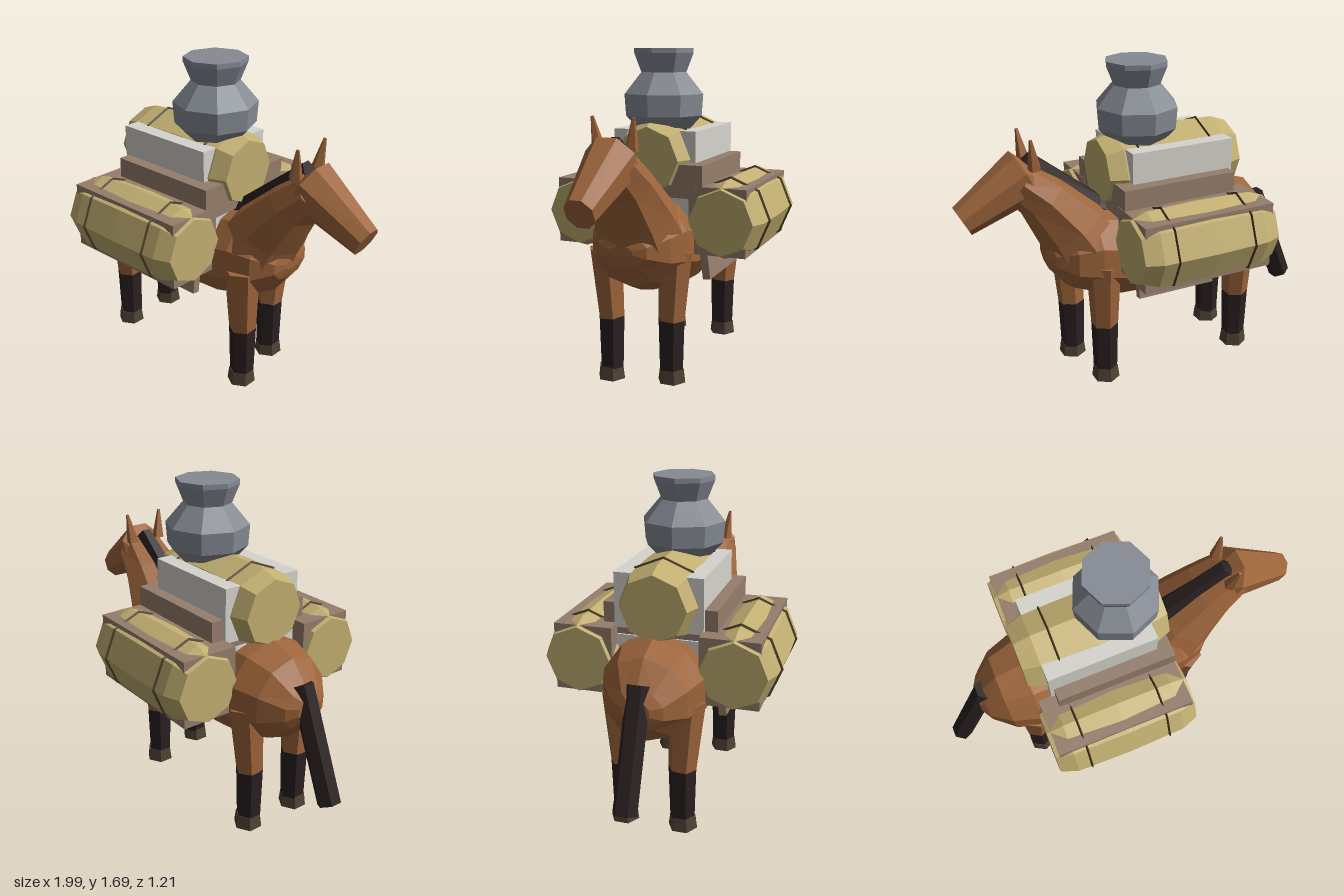
import * as THREE from 'three';

const mat = (name, color) => {
  const m = new THREE.MeshStandardMaterial({ color, flatShading: true });
  m.name = name;
  return m;
};

// Closed skin over rings; each ring is [topX, topY, bottomX, bottomY, halfWidth]
function loft(rings, sides, turn = 0) {
  const pos = [], idx = [];
  for (const [tx, ty, bx, by, w] of rings) {
    for (let j = 0; j < sides; j++) {
      const a = ((j + turn) / sides) * Math.PI * 2, c = Math.cos(a);
      pos.push((tx + bx) / 2 + (c * (tx - bx)) / 2, (ty + by) / 2 + (c * (ty - by)) / 2, Math.sin(a) * w);
    }
  }
  const centre = ([tx, ty, bx, by]) => pos.push((tx + bx) / 2, (ty + by) / 2, 0);
  const n = rings.length, first = n * sides, last = first + 1;
  centre(rings[0]);
  centre(rings[n - 1]);
  for (let j = 0; j < sides; j++) {
    const k = (j + 1) % sides;
    for (let i = 0; i < n - 1; i++) {
      const a = i * sides + j, b = i * sides + k;
      idx.push(a, b, a + sides, b, b + sides, a + sides);
    }
    idx.push(first, k, j, last, (n - 1) * sides + j, (n - 1) * sides + k);
  }
  const g = new THREE.BufferGeometry();
  g.setAttribute('position', new THREE.Float32BufferAttribute(pos, 3));
  g.setIndex(idx);
  g.computeVertexNormals();
  return g;
}

export function createModel() {
  const model = new THREE.Group();
  const coat = mat('chestnutCoat', 0x9e653b);
  const black = mat('darkHair', 0x2a2021);
  const hoofMat = mat('hoof', 0x4f4234);
  const canvas = mat('canvas', 0xc2af71);
  const strapMat = mat('strap', 0x4a3b24);
  const wood = mat('wood', 0x957e6c);
  const cloth = mat('paleCloth', 0xd6d4ce);
  const metal = mat('greyPot', 0x868b94);

  const add = (name, geo, material, x = 0, y = 0, z = 0, parent = model) => {
    const m = new THREE.Mesh(geo, material);
    m.name = name;
    m.position.set(x, y, z);
    parent.add(m);
    return m;
  };
  // Box given by its limits
  const box = (name, material, x0, x1, y0, y1, z0, z1) =>
    add(name, new THREE.BoxGeometry(x1 - x0, y1 - y0, z1 - z0), material, (x0 + x1) / 2, (y0 + y1) / 2, (z0 + z1) / 2);
  // Tapered prism running from a (radius ra) to b (radius rb)
  const limb = (name, material, a, b, ra, rb, sides = 6) => {
    const p = new THREE.Vector3(...a), q = new THREE.Vector3(...b), d = q.clone().sub(p);
    const m = add(name, new THREE.CylinderGeometry(rb, ra, d.length(), sides), material);
    m.position.copy(p.add(q).multiplyScalar(0.5));
    m.quaternion.setFromUnitVectors(new THREE.Vector3(0, 1, 0), d.normalize());
    return m;
  };

  // Animal, facing +x
  add('body', loft([
    [-0.78, 0.79, -0.78, 0.67, 0.07],
    [-0.75, 0.83, -0.74, 0.61, 0.13],
    [-0.65, 0.95, -0.63, 0.51, 0.22],
    [-0.5, 0.995, -0.5, 0.47, 0.27],
    [-0.32, 0.98, -0.32, 0.44, 0.265],
    [-0.1, 0.95, -0.1, 0.42, 0.26],
    [0.18, 0.96, 0.18, 0.44, 0.265],
    [0.32, 0.98, 0.32, 0.48, 0.26],
    [0.44, 0.93, 0.44, 0.53, 0.22],
    [0.53, 0.82, 0.53, 0.64, 0.13],
    [0.55, 0.76, 0.55, 0.7, 0.06],
  ], 10), coat);
  add('neck', loft([
    [0.18, 0.92, 0.53, 0.68, 0.24],
    [0.25, 0.99, 0.57, 0.79, 0.215],
    [0.45, 1.15, 0.66, 0.98, 0.165],
    [0.61, 1.26, 0.74, 1.08, 0.13],
  ], 8), coat);
  add('head', loft([
    [0.63, 1.25, 0.58, 1.1, 0.11],
    [0.695, 1.305, 0.575, 1.055, 0.135],
    [0.995, 1.065, 0.92, 0.92, 0.075],
  ], 8, 0.5), coat);
  add('mane', loft([
    [0.17, 0.98, 0.24, 0.88, 0.08],
    [0.23, 1.01, 0.3, 0.92, 0.07],
    [0.59, 1.295, 0.66, 1.2, 0.045],
    [0.64, 1.26, 0.66, 1.2, 0.045],
  ], 6, 0.5), black);
  limb('tail', black, [-0.947, 0.29, 0], [-0.72, 0.84, 0], 0.06, 0.06);

  for (const s of [1, -1]) {
    limb('ear', coat, [0.605, 1.23, s * 0.085], [0.625, 1.385, s * 0.105], 0.035, 0.008, 5);
    // The two front legs are slightly out of step
    for (const [name, x] of [['hindLeg', -0.53], ['frontLeg', s > 0 ? 0.355 : 0.285]]) {
      limb(name + 'Upper', coat, [x, 0.335, s * 0.152], [x + 0.01, 0.7, s * 0.175], 0.072, 0.092);
      limb(name + 'Lower', black, [x, 0.06, s * 0.152], [x, 0.34, s * 0.152], 0.064, 0.072);
      limb(name + 'Hoof', hoofMat, [x, 0, s * 0.155], [x, 0.07, s * 0.155], 0.075, 0.066);
    }
  }

  // Canvas roll along x with two thin straps
  const bundle = (name, x, y, z, straps) => {
    const g = new THREE.Group();
    g.name = name;
    g.position.set(x, y, z);
    model.add(g);
    const ring = (px, r) => [px, r, px, -r, r];
    add('roll', loft([ring(-0.378, 0.168), ring(-0.29, 0.2), ring(0, 0.207), ring(0.29, 0.2), ring(0.378, 0.168)], 8), canvas, 0, 0, 0, g);
    for (const sx of straps) {
      add('strap', loft([ring(-0.009, 0.195), ring(0, 0.213), ring(0.009, 0.195)], 8), strapMat, sx - x, 0, 0, g);
    }
  };

  // Load
  bundle('topBundle', -0.132, 1.137, 0, [-0.33, 0.08]);
  for (const s of [1, -1]) {
    bundle('sideBundle', -0.132, 0.842, s * 0.393, [-0.35, 0.08]);
    const z = [s * 0.22, s * 0.52].sort((a, b) => a - b);
    box('sideCrate', wood, -0.49, 0.228, 0.67, 1.015, z[0], z[1]);
    const flap = box('saddleFlap', wood, -0.28, 0.155, 0.52, 0.86, -0.02, 0.02);
    flap.position.z = s * 0.272;
    flap.rotation.x = -s * 0.13;
  }
  box('saddleBlanket', cloth, -0.41, 0.2, 0.86, 0.96, -0.25, 0.25);
  box('packFrame', wood, -0.4, 0.225, 0.95, 1.12, -0.29, 0.29);
  box('clothPack', cloth, -0.42, 0.15, 1.0, 1.28, -0.226, 0.226);

  // Pot with a closed mouth
  const profile = [[0, 1.28], [0.145, 1.28], [0.21, 1.35], [0.218, 1.46], [0.125, 1.57], [0.163, 1.665], [0.163, 1.69], [0, 1.69]];
  add('pot', new THREE.LatheGeometry(profile.map(([r, y]) => new THREE.Vector2(r, y)), 8), metal, 0.02, 0, 0);

  return model;
}
